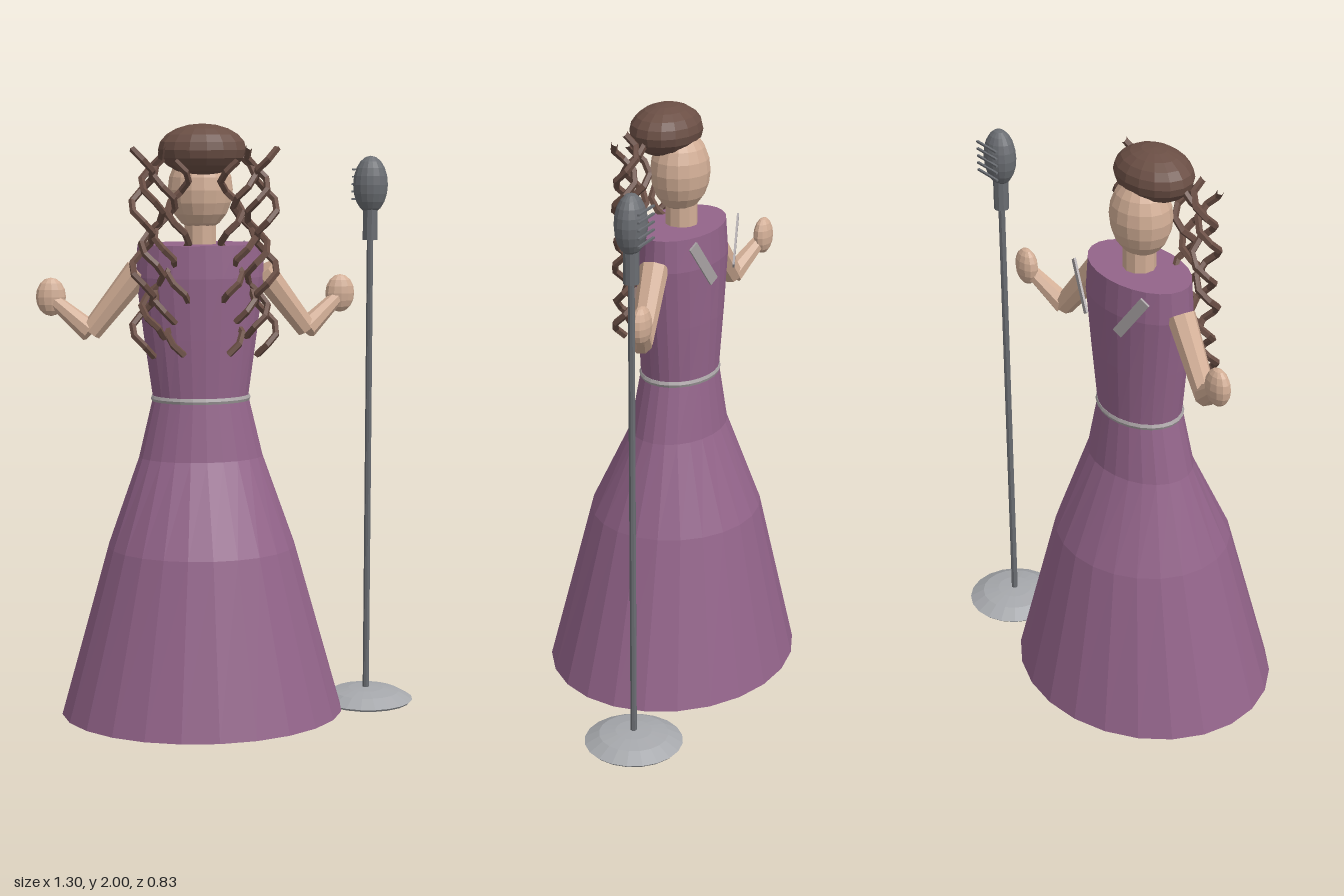
import * as THREE from 'three';

const CX = -0.114; // centre line of the figure
const V = (x, y, z) => new THREE.Vector3(x, y, z);

function material(name, color) {
  const m = new THREE.MeshStandardMaterial({ color, flatShading: true });
  m.name = name;
  return m;
}

// Corkscrew lock hanging straight down
class Helix extends THREE.Curve {
  constructor(x, z, top, bottom, radius, turns, phase, dir) {
    super();
    Object.assign(this, { x, z, top, bottom, radius, turns, phase, dir });
  }
  getPoint(t, target = new THREE.Vector3()) {
    const a = this.phase + t * this.turns * Math.PI * 2;
    return target.set(
      this.x + this.dir * Math.cos(a) * this.radius,
      this.top + (this.bottom - this.top) * t,
      this.z + Math.sin(a) * this.radius);
  }
}

export function createModel() {
  const root = new THREE.Group();
  root.name = 'singer';
  const purple = material('purple cloth', 0x93648a);
  const skin = material('skin', 0xd2ae96);
  const brown = material('brown hair', 0x6b4f45);
  const silver = material('silver', 0xa6a8ac);
  const trim = material('silver trim', 0xaaa4a6);
  const grey = material('dark metal', 0x6a6d72);

  const add = (parent, name, geometry, mat, x = 0, y = 0, z = 0) => {
    const mesh = new THREE.Mesh(geometry, mat);
    mesh.name = name;
    mesh.position.set(x, y, z);
    parent.add(mesh);
    return mesh;
  };
  const ellipsoid = (rx, ry, rz, w = 16, h = 10) =>
    new THREE.SphereGeometry(1, w, h).scale(rx, ry, rz);
  // Tapered limb between two points
  const limb = (parent, name, a, b, ra, rb, mat, sides = 8) => {
    const d = b.clone().sub(a);
    const mesh = add(parent, name, new THREE.CylinderGeometry(rb, ra, d.length(), sides), mat);
    mesh.position.copy(a).add(b).multiplyScalar(0.5);
    mesh.quaternion.setFromUnitVectors(V(0, 1, 0), d.normalize());
    return mesh;
  };

  // Gown: oval rings [y, half width, half depth, z centre]
  const rings = [
    [0.034, 0.475, 0.416, 0], [0.6, 0.315, 0.285, -0.01], [0.9, 0.208, 0.153, -0.021],
    [1.1, 0.16, 0.124, -0.024], [1.3, 0.188, 0.132, -0.026], [1.5, 0.214, 0.138, -0.028],
    [1.607, 0.208, 0.13, -0.028],
  ];
  const gown = new THREE.CylinderGeometry(1, 1, 1, 24, rings.length - 1);
  const p = gown.attributes.position;
  for (let i = 0; i < p.count; i++) {
    const [y, rx, rz, cz] = rings[Math.round((p.getY(i) + 0.5) * (rings.length - 1))];
    p.setXYZ(i, p.getX(i) * rx, y, p.getZ(i) * rz + cz);
  }
  gown.computeVertexNormals();
  add(root, 'gown', gown, purple, CX);

  // Belt
  const belt = new THREE.TorusGeometry(1, 0.06, 6, 24).rotateX(Math.PI / 2).scale(0.158, 0.19, 0.122);
  add(root, 'belt', belt, trim, CX, 1.097, -0.024);

  // Head, neck and crown of hair
  add(root, 'neck', new THREE.CylinderGeometry(0.053, 0.053, 0.16, 10), skin, CX, 1.65, -0.027);
  add(root, 'head', ellipsoid(0.108, 0.135, 0.096), skin, CX, 1.785, -0.022);
  add(root, 'hairCrown', ellipsoid(0.145, 0.084, 0.114), brown, CX, 1.916, 0.028);

  // Mirrored arms, bodice straps and curls
  for (const s of [-1, 1]) {
    const side = s > 0 ? 'left' : 'right';
    const at = (x, y, z) => V(CX + s * x, y, z);

    const arm = new THREE.Group();
    arm.name = side + 'Arm';
    root.add(arm);
    const elbow = at(0.362, 1.318, -0.055);
    limb(arm, 'upperArm', at(0.205, 1.52, -0.026), elbow, 0.047, 0.036, skin);
    limb(arm, 'forearm', elbow, at(0.475, 1.415, -0.108), 0.037, 0.024, skin);
    add(arm, 'hand', ellipsoid(0.05, 0.064, 0.031, 12, 8), skin, CX + s * 0.488, 1.43, -0.115);

    // Slanted strap standing just off the chest
    const a = at(0.18, 1.598, -0.15), b = at(0.08, 1.455, -0.179);
    const yAxis = a.clone().sub(b), length = yAxis.length();
    yAxis.normalize();
    const zAxis = V(s * -0.3, 0.15, 1);
    const xAxis = yAxis.clone().cross(zAxis).normalize();
    zAxis.copy(xAxis).cross(yAxis);
    const strap = add(root, side + 'Strap', new THREE.BoxGeometry(0.036, length, 0.007), trim);
    strap.quaternion.setFromRotationMatrix(new THREE.Matrix4().makeBasis(xAxis, yAxis, zAxis));
    strap.position.copy(a).add(b).multiplyScalar(0.5);

    // Ringlets: [offset, z, top, bottom, phase]
    const curls = new THREE.Group();
    curls.name = side + 'Curls';
    root.add(curls);
    [[0.203, 0.08, 1.92, 1.25, 0.5], [0.172, 0.088, 1.925, 1.31, 2.6],
      [0.13, 0.078, 1.9, 1.36, 4.4], [0.088, 0.086, 1.88, 1.255, 1.2],
    ].forEach(([x, z, top, bottom, phase]) => {
      const turns = (top - bottom) / 0.2;
      const path = new Helix(CX + s * x, z, top, bottom, 0.036, turns, phase, s);
      add(curls, 'ringlet', new THREE.TubeGeometry(path, Math.round(turns * 6), 0.012, 5), brown);
    });
  }

  // Microphone on its stand
  const mic = new THREE.Group();
  mic.name = 'microphoneStand';
  mic.position.set(0.481, 0, -0.134);
  root.add(mic);
  const foot = [[0, 0], [0.155, 0], [0.163, 0.008], [0.115, 0.035], [0.06, 0.045], [0, 0.048]];
  add(mic, 'base', new THREE.LatheGeometry(foot.map(([r, y]) => new THREE.Vector2(r, y)), 20), silver);
  add(mic, 'pole', new THREE.CylinderGeometry(0.011, 0.011, 1.58, 8), grey, 0, 0.83);
  add(mic, 'collar', new THREE.CylinderGeometry(0.025, 0.025, 0.11, 10), grey, 0, 1.662);
  add(mic, 'microphone', ellipsoid(0.06, 0.097, 0.05), grey, 0, 1.793);
  for (let i = 0; i < 5; i++) {
    add(mic, 'grilleBar', new THREE.BoxGeometry(0.107, 0.006, 0.008), grey, 0, 1.743 + i * 0.025, -0.05);
  }
  return root;
}
